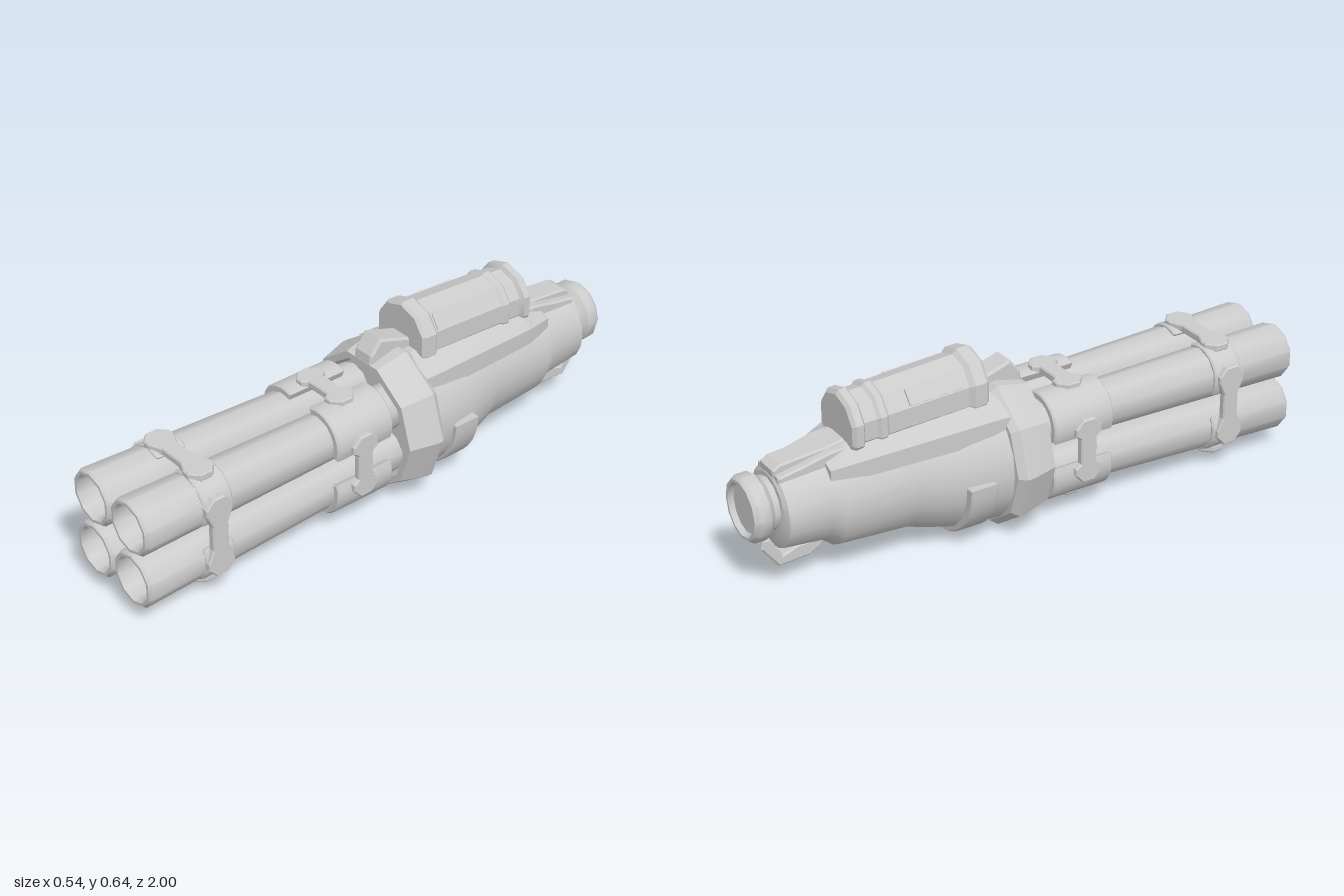
import * as THREE from 'three';
import { toCreasedNormals } from 'three/addons/utils/BufferGeometryUtils.js';

const MID = 0.254; // height of the main axis

export function createModel() {
  const model = new THREE.Group();
  const material = new THREE.MeshStandardMaterial({ color: 0xcccccc });

  function add(name, geometry, parent = model) {
    const mesh = new THREE.Mesh(geometry, material);
    mesh.name = name;
    parent.add(mesh);
    return mesh;
  }

  // Skin along z through elliptical rings: rows of [z, cx, cy, rx, ry]
  function loft(rows, sides, crease = 0.7, turn = 0) {
    const geo = new THREE.LatheGeometry(rows.map((_, i) => new THREE.Vector2(1, i)), sides);
    const pos = geo.attributes.position;
    for (let i = 0; i < pos.count; i++) {
      const [z, cx, cy, rx, ry] = rows[i % rows.length];
      const a = Math.floor(i / rows.length) / sides * Math.PI * 2 + turn;
      pos.setXYZ(i, cx + Math.sin(a) * rx, cy - Math.cos(a) * ry, z);
    }
    geo.deleteAttribute('normal');
    geo.deleteAttribute('uv');
    return toCreasedNormals(geo, crease);
  }

  const round = (profile, cy) => profile.map(([z, r]) => [z, 0, cy, r, r]);

  const polygon = pts => new THREE.Shape(pts.map(p => new THREE.Vector2(...p)));

  // Side outline in (z, y), extruded symmetrically across x
  function sideProfile(pts, width, bevel = 0.006) {
    const geo = new THREE.ExtrudeGeometry(polygon(pts), {
      depth: width - bevel * 2, bevelEnabled: true, bevelSize: bevel, bevelThickness: bevel,
      bevelOffset: -bevel, bevelSegments: 1,
    });
    return geo.translate(0, 0, bevel - width / 2).rotateY(-Math.PI / 2);
  }

  // Segment of a thick ring, running along z
  function arcBand(r0, r1, a0, a1, z0, z1, segments) {
    const shape = new THREE.Shape();
    shape.absarc(0, 0, r1, a0, a1, false);
    shape.absarc(0, 0, r0, a1, a0, true);
    const geo = new THREE.ExtrudeGeometry(shape, {
      depth: z1 - z0 - 0.012, curveSegments: segments,
      bevelSize: 0.005, bevelThickness: 0.006, bevelOffset: -0.005, bevelSegments: 1,
    });
    return toCreasedNormals(geo.translate(0, 0, z0 + 0.006), 0.6);
  }

  // Barrels: slightly splayed, hollow tubes with clamp sleeves
  const spread = z => 0.086 + 0.0125 * z;
  const radius = z => 0.078 + 0.0195 * z;
  for (const sx of [-1, 1]) for (const sy of [-1, 1]) {
    const row = (z, r = radius(z)) => [z, sx * spread(z), MID - 0.002 + sy * spread(z), r, r];
    add('barrel', loft([
      row(-0.08), row(0.25), row(0.7), row(0.99), row(1, 0.09), row(1, 0.08),
      row(0.985, 0.075), row(0.93, 0.075), row(0.92, 0.068), row(0.6, 0.064), row(0.6, 0),
    ], 10));

    const diagonal = Math.atan2(sy, sx);
    for (const [name, z0, z1, r, half] of [
      ['rearSleeve', 0.03, 0.26, 0.106, 1.2], ['frontBand', 0.675, 0.785, 0.099, 1.35],
    ]) {
      const c = spread((z0 + z1) / 2);
      add(name, arcBand(r - 0.028, r, diagonal - half, diagonal + half, z0, z1, 6))
        .position.set(sx * c, MID - 0.002 + sy * c, 0);
    }
  }

  // Bow-tie plates bridging neighbouring barrels on all four sides
  function bowPlate(z, length, height) {
    const quarter = [[length, 0.022], [length - 0.03, 0.05], [length - 0.055, 0.05], [0.045, 0.03]];
    const upper = [...quarter, ...quarter.map(([x, y]) => [-x, y]).reverse()];
    const outline = [...upper, ...upper.map(([x, y]) => [x, -y]).reverse()];
    const geo = new THREE.ExtrudeGeometry(polygon(outline), {
      depth: 0.018, bevelSize: 0.004, bevelThickness: 0.005, bevelOffset: -0.004, bevelSegments: 1,
    });
    return geo.rotateX(Math.PI / 2).translate(0, height - 0.005, z);
  }
  for (let i = 0; i < 4; i++) {
    for (const [z, length, height] of [[0.735, 0.145, 0.207], [0.155, 0.115, 0.208]]) {
      const plate = add('bridgePlate', bowPlate(z, length, height));
      plate.position.y = MID - 0.002;
      plate.rotation.z = i * Math.PI / 2;
    }
  }

  // Ten-sided collar with a recessed mounting face
  add('collar', loft(round([
    [-0.15, 0.2], [-0.145, 0.248], [-0.12, 0.268], [-0.1, 0.268], [0, 0.242],
    [0, 0.218], [-0.02, 0.208], [-0.04, 0.205], [-0.04, 0],
  ], MID), 10, 0.3, Math.PI / 10));

  // Main housing: rows of [z, half width, bottom, top]
  add('housing', loft([
    [-0.905, 0, 0.28, 0.28], [-0.905, 0.11, 0.165, 0.395], [-0.895, 0.13, 0.135, 0.41],
    [-0.75, 0.138, 0.12, 0.425], [-0.71, 0.15, 0.088, 0.43], [-0.46, 0.167, 0.075, 0.455],
    [-0.38, 0.19, 0.05, 0.465], [-0.3, 0.208, 0.028, 0.475], [-0.14, 0.23, 0.018, 0.49],
    [-0.1, 0.235, 0.02, 0.49],
  ].map(([z, rx, y0, y1]) => [z, 0, (y0 + y1) / 2, rx, (y1 - y0) / 2]), 20, 0.5));

  // Strap around the lower half of the housing
  add('lowerStrap', arcBand(0.19, 0.238, Math.PI, Math.PI * 2, -0.31, -0.21, 10))
    .position.y = MID + 0.002;

  // Saddle and tapering spine along the top
  add('saddle', loft([
    [-0.74, 0, 0.4, 0, 0], [-0.74, 0, 0.385, 0.12, 0.045], [-0.62, 0, 0.4, 0.165, 0.075],
    [-0.2, 0, 0.41, 0.19, 0.09], [-0.13, 0, 0.41, 0.19, 0.09],
  ], 8, 0.3, Math.PI / 8));
  add('spine', sideProfile(
    [[-0.9, 0.36], [-0.905, 0.42], [-0.88, 0.435], [-0.7, 0.452], [-0.6, 0.47], [-0.6, 0.36]], 0.09));
  for (const s of [-1, 1]) {
    const rail = add('spineRail', sideProfile(
      [[-0.9, 0.34], [-0.9, 0.405], [-0.8, 0.425], [-0.72, 0.445], [-0.6, 0.455], [-0.6, 0.34]], 0.035));
    rail.position.x = s * 0.08;
    rail.rotation.y = s * 0.03;
  }

  // Canister on top, sinking a little towards the back
  const canister = new THREE.Group();
  canister.name = 'canister';
  model.add(canister);
  const canisterY = z => 0.516 + (z + 0.17) * 0.052;
  add('canisterBody', loft([
    [-0.656, 0], [-0.656, 0.105], [-0.645, 0.118], [-0.62, 0.118], [-0.61, 0.103], [-0.565, 0.103],
    [-0.555, 0.113], [-0.535, 0.113], [-0.525, 0.105], [-0.235, 0.108], [-0.22, 0.122],
    [-0.178, 0.122], [-0.166, 0.112], [-0.166, 0],
  ].map(([z, r]) => [z, 0, canisterY(z), r, r]), 10, 0.4), canister);
  for (const s of [-1, 1]) {
    const panel = add('canisterPanel', new THREE.BoxGeometry(0.055, 0.012, 0.21), canister);
    const a = 0.3 * Math.PI;
    panel.position.set(s * Math.sin(a) * 0.101, canisterY(-0.345) + Math.cos(a) * 0.101, -0.345);
    panel.rotation.set(-0.05, 0, -s * a);
  }

  // Sight block over the collar
  add('sightBlock', sideProfile(
    [[0.0, 0.478], [-0.005, 0.515], [-0.045, 0.565], [-0.175, 0.522], [-0.175, 0.46], [-0.02, 0.46]],
    0.086, 0.008));

  // Rear cap with recessed end
  add('rearCap', loft(round([
    [-0.982, 0], [-0.982, 0.082], [-1, 0.09], [-1, 0.1], [-0.985, 0.111], [-0.945, 0.111],
    [-0.925, 0.09], [-0.89, 0.088],
  ], 0.292), 12));

  // Hooked lever under the rear
  add('rearLever', sideProfile([
    [-0.74, 0.135], [-0.745, 0.11], [-0.79, 0.085], [-0.9, 0.078], [-0.958, 0.155],
    [-0.95, 0.19], [-0.925, 0.185], [-0.885, 0.115], [-0.83, 0.135],
  ], 0.09));

  return model;
}
